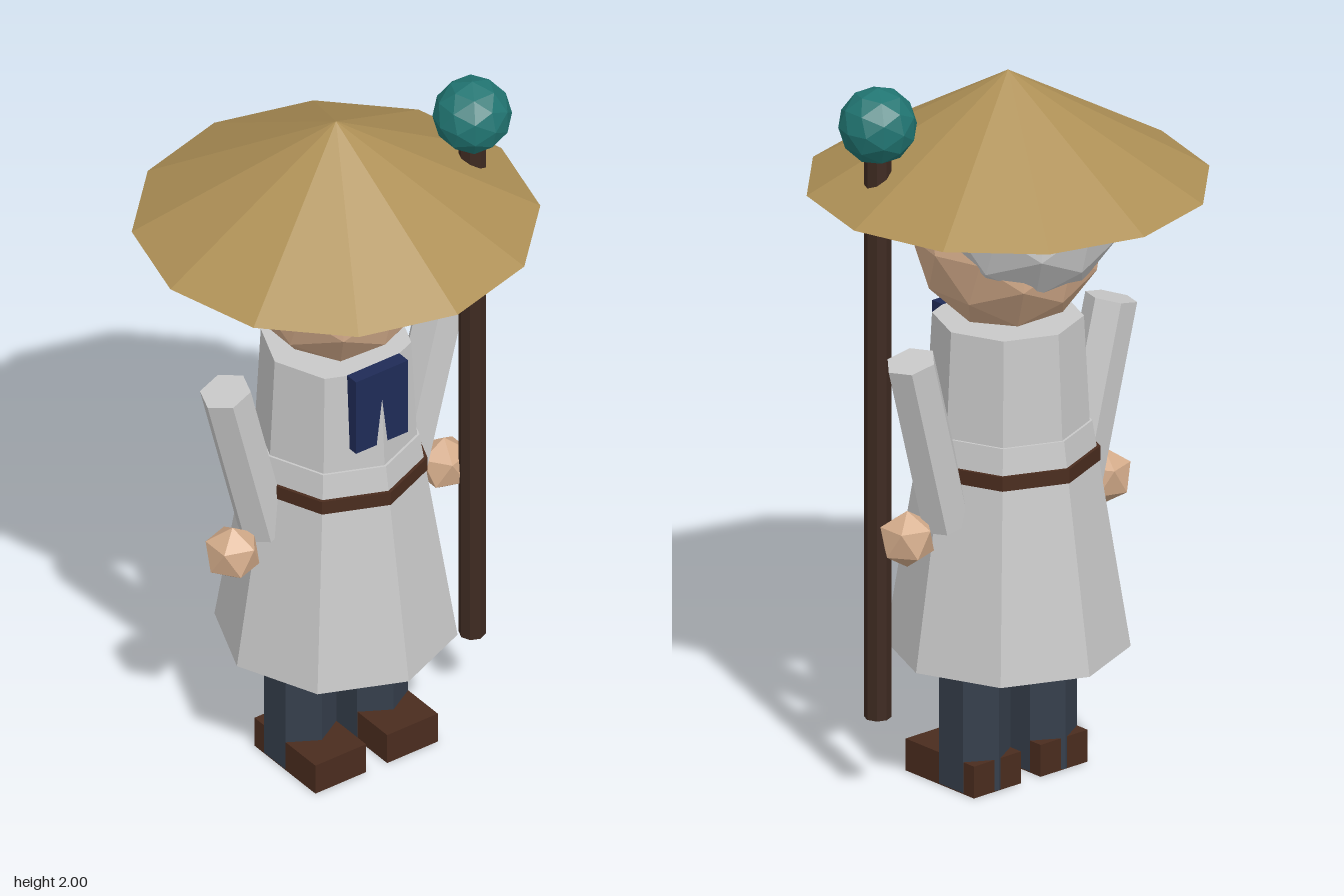
import * as THREE from 'three';

const mat = (name, color) => {
  const m = new THREE.MeshStandardMaterial({ color, flatShading: true });
  m.name = name;
  return m;
};

export function createModel() {
  const model = new THREE.Group();
  model.name = 'staffBearer';

  const straw = mat('straw', 0xae9056);
  const robe = mat('robe grey', 0xc8c8c8);
  const hairGrey = mat('hair grey', 0xcccccc);
  const skin = mat('skin', 0xd3ab8a);
  const navy = mat('navy', 0x1f2b57);
  const leather = mat('leather', 0x4a2c1e);
  const wood = mat('dark wood', 0x3e2a21);
  const trousers = mat('trousers', 0x353e4b);
  const teal = mat('teal', 0x217572);
  const eyeDark = mat('eye dark', 0x1e222c);

  const add = (name, geometry, material, x, y, z) => {
    const mesh = new THREE.Mesh(geometry, material);
    mesh.name = name;
    mesh.position.set(x, y, z);
    model.add(mesh);
    return mesh;
  };
  // Cylinder spanning two heights
  const column = (name, rTop, rBottom, y0, y1, sides, material, x = 0, z = 0) =>
    add(name, new THREE.CylinderGeometry(rTop, rBottom, y1 - y0, sides), material, x, (y0 + y1) / 2, z);
  const ball = (name, r, detail, material, x, y, z) =>
    add(name, new THREE.IcosahedronGeometry(r, detail), material, x, y, z);

  // Head, hair and hat
  ball('head', 0.256, 1, skin, 0, 1.52, 0);
  ball('hair', 0.262, 1, hairGrey, 0, 1.63, -0.07);
  add('hat', new THREE.ConeGeometry(0.54, 0.314, 12), straw, 0, 1.823, 0);

  // Robe, belt and neck scarf
  column('torso', 0.2, 0.217, 0.96, 1.29, 8, robe);
  column('skirt', 0.222, 0.323, 0.36, 0.995, 8, robe);
  column('belt', 0.243, 0.243, 0.883, 0.923, 8, leather);
  add('scarf', new THREE.BoxGeometry(0.17, 0.23, 0.04), navy, 0, 1.176, 0.1845);

  // Paired parts
  for (const s of [-1, 1]) {
    const side = s > 0 ? 'left' : 'right';
    ball(side + 'Eye', 0.037, 1, eyeDark, s * 0.09, 1.53, 0.245);

    // Sleeve leaning outward at the shoulder
    const sleeve = new THREE.CylinderGeometry(0.07, 0.07, 0.5, 6);
    sleeve.rotateY(s * 0.35);
    add(side + 'Sleeve', sleeve, robe, s * 0.29, 1.008, -0.012).rotation.z = -s * 0.25;
    ball(side + 'Hand', 0.079, 0, skin, s * 0.345, 0.742, 0.01).rotation.z = s * 0.5536;

    column(side + 'Leg', 0.096, 0.096, 0.003, 0.5, 6, trousers, s * 0.117);
    add(side + 'Shoe', new THREE.BoxGeometry(0.165, 0.09, 0.27), leather, s * 0.117, 0.045, 0.045);
  }

  // Staff with orb
  column('staff', 0.036, 0.036, 0.225, 1.84, 8, wood, 0.378, 0.09);
  ball('orb', 0.105, 1, teal, 0.378, 1.895, 0.09);

  return model;
}
